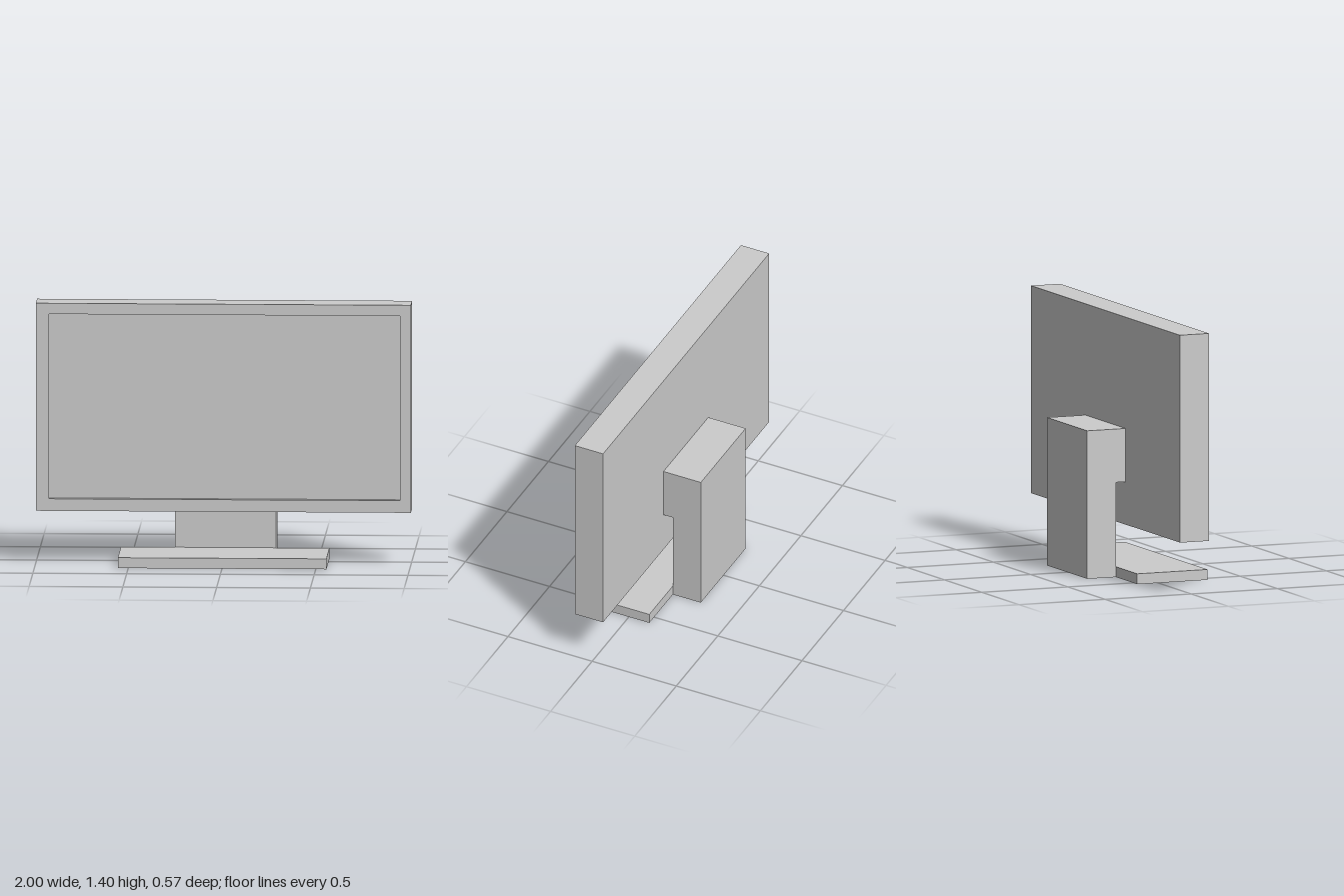
import * as THREE from 'three';

const material = new THREE.MeshStandardMaterial({ color: 0xcccccc });

function addMesh(group, name, geometry) {
  const mesh = new THREE.Mesh(geometry, material);
  mesh.name = name;
  group.add(mesh);
  return mesh;
}

// Box given by its minimum and maximum corners
function boxBetween([x0, y0, z0], [x1, y1, z1]) {
  return new THREE.BoxGeometry(x1 - x0, y1 - y0, z1 - z0)
    .translate((x0 + x1) / 2, (y0 + y1) / 2, (z0 + z1) / 2);
}

function rectangle(PathType, x0, y0, x1, y1) {
  return new PathType([[x0, y0], [x1, y0], [x1, y1], [x0, y1]].map(p => new THREE.Vector2(...p)));
}

export function createModel() {
  const model = new THREE.Group();
  model.name = 'monitor';

  const bottom = 0.28, top = 1.397, back = -0.065, front = 0.103;
  const screenZ = front - 0.035;

  // Casing, whose front face is the recessed screen
  addMesh(model, 'casingAndScreen', boxBetween([-1, bottom, back], [1, top, screenZ]));

  // Raised bezel around the screen
  const bezel = rectangle(THREE.Shape, -1, bottom, 1, top);
  bezel.holes.push(rectangle(THREE.Path, -0.93, 0.345, 0.941, 1.339));
  addMesh(model, 'bezel', new THREE.ExtrudeGeometry(bezel, { depth: front - screenZ, bevelEnabled: false })
    .translate(0, 0, screenZ));

  // Upright with the mounting arm: side profile as (z, y), extruded across x
  const profile = new THREE.Shape([
    [-0.287, 0], [-0.121, 0], [-0.121, 0.51], [back, 0.51], [back, 0.797], [-0.287, 0.797],
  ].map(p => new THREE.Vector2(...p)));
  const width = 0.54;
  addMesh(model, 'stand', new THREE.ExtrudeGeometry(profile, { depth: width, bevelEnabled: false })
    .rotateY(-Math.PI / 2).translate(0.273, 0, 0));

  // Foot plate
  addMesh(model, 'base', boxBetween([-0.555, 0, -0.121], [0.557, 0.056, 0.287]));

  return model;
}
